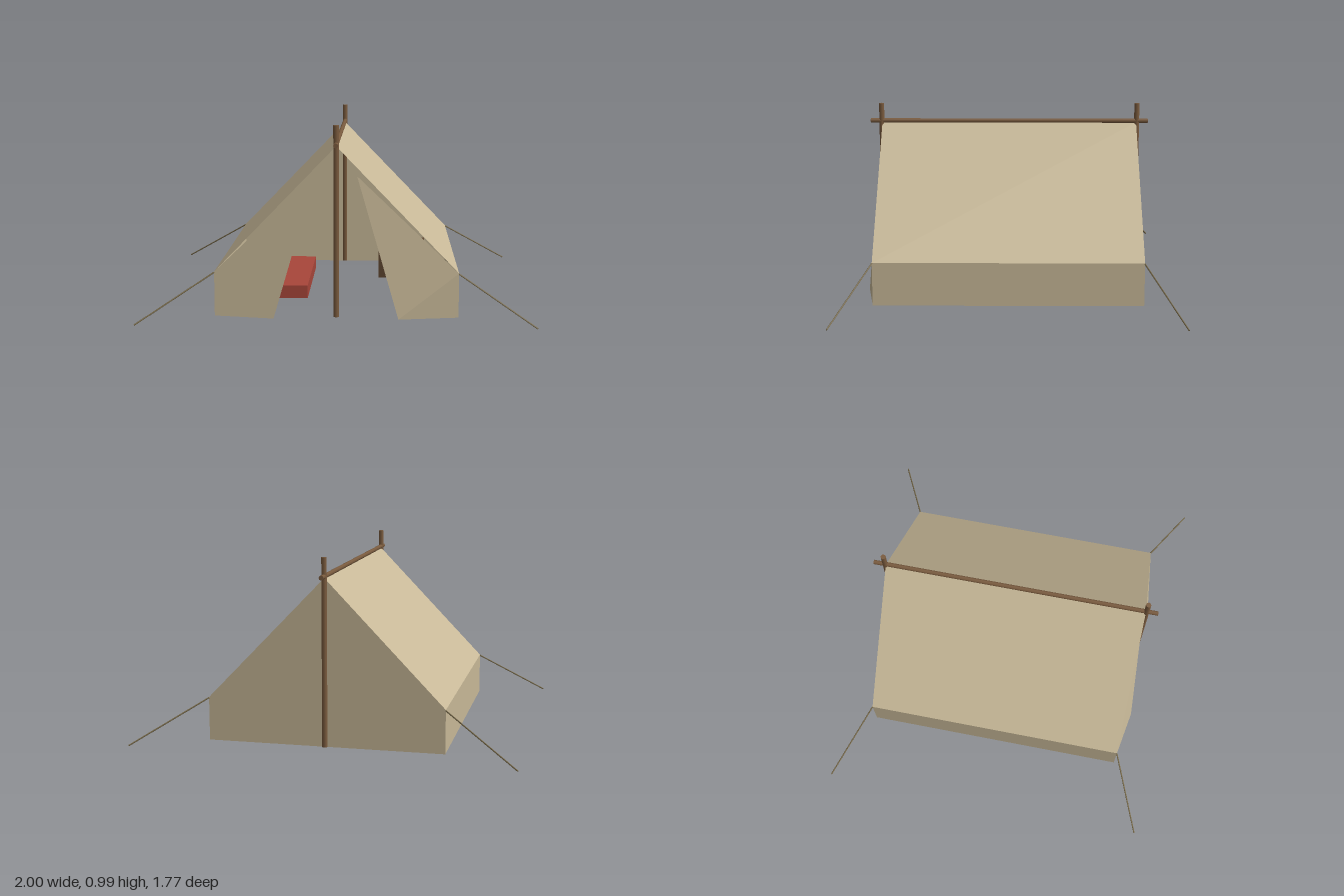
import * as THREE from 'three';

const material = (color, extra = {}) => new THREE.MeshStandardMaterial({ color, ...extra });

export function createModel() {
  const group = new THREE.Group();
  const canvas = material(0xc8b998, { side: THREE.DoubleSide, flatShading: true });
  const wood = material(0x7a5b3e);
  const ropeMat = material(0x7d6f4e);

  const ground = 0.01, eave = 0.238, apex = 0.88, halfW = 0.62, halfL = 0.703;
  const V = (x, y, z) => new THREE.Vector3(x, y, z);

  function add(name, geometry, mat) {
    const mesh = new THREE.Mesh(geometry, mat);
    mesh.name = name;
    group.add(mesh);
    return mesh;
  }

  // Flat cloth panel: a fan of triangles around its first corner
  function panel(name, corners) {
    const points = [];
    for (let i = 1; i < corners.length - 1; i++) points.push(corners[0], corners[i], corners[i + 1]);
    const geometry = new THREE.BufferGeometry().setFromPoints(points);
    geometry.computeVertexNormals();
    add(name, geometry, canvas);
  }

  // Round bar between two points
  function bar(name, a, b, radius, sides, mat) {
    const mesh = add(name, new THREE.CylinderGeometry(radius, radius, a.distanceTo(b), sides), mat);
    mesh.position.copy(a).lerp(b, 0.5);
    mesh.quaternion.setFromUnitVectors(V(0, 1, 0), b.clone().sub(a).normalize());
  }

  function box(name, min, max, color) {
    const size = max.clone().sub(min);
    add(name, new THREE.BoxGeometry(size.x, size.y, size.z), material(color))
      .position.copy(min).lerp(max, 0.5);
  }

  // Roof slopes, low side walls and folded-open door flaps
  for (const s of [1, -1]) {
    const side = s > 0 ? 'left' : 'right';
    const outward = (corners) => (s > 0 ? corners : corners.reverse());
    const x = s * halfW;
    panel(side + 'RoofSlope', outward([
      V(x, eave, halfL), V(x, eave, -halfL), V(0, apex, -halfL), V(0, apex, halfL)]));
    panel(side + 'SideWall', outward([
      V(x, ground, halfL), V(x, ground, -halfL), V(x, eave, -halfL), V(x, eave, halfL)]));
    panel(side + 'DoorFlap', outward([
      V(s * 0.315, ground, 0.755), V(x, ground, halfL), V(x, eave, halfL), V(s * 0.105, 0.73, halfL)]));
  }

  // Closed back gable
  panel('backWall', [
    V(0, apex, -halfL), V(halfW, eave, -halfL), V(halfW, ground, -halfL),
    V(-halfW, ground, -halfL), V(-halfW, eave, -halfL)]);

  // Wooden frame
  bar('frontPole', V(0, ground, 0.706), V(0, 0.985, 0.706), 0.014, 8, wood);
  bar('backPole', V(0, ground, -0.706), V(0, 0.985, -0.706), 0.014, 8, wood);
  bar('ridgePole', V(0, 0.888, -0.767), V(0, 0.888, 0.767), 0.0125, 8, wood);

  // Guy ropes from the eave corners to the ground
  for (const sx of [1, -1]) for (const sz of [1, -1]) {
    bar('guyRope', V(sx * halfW, eave - 0.003, sz * halfL), V(sx * 0.998, 0.003, sz * 0.883), 0.004, 5, ropeMat);
  }

  // Things inside
  box('bedroll', V(-0.47, ground, -0.48), V(-0.17, 0.08, 0.31), 0xa8463a);
  box('chest', V(0.21, ground, -0.55), V(0.485, 0.188, -0.215), 0x5e452f);

  return group;
}
